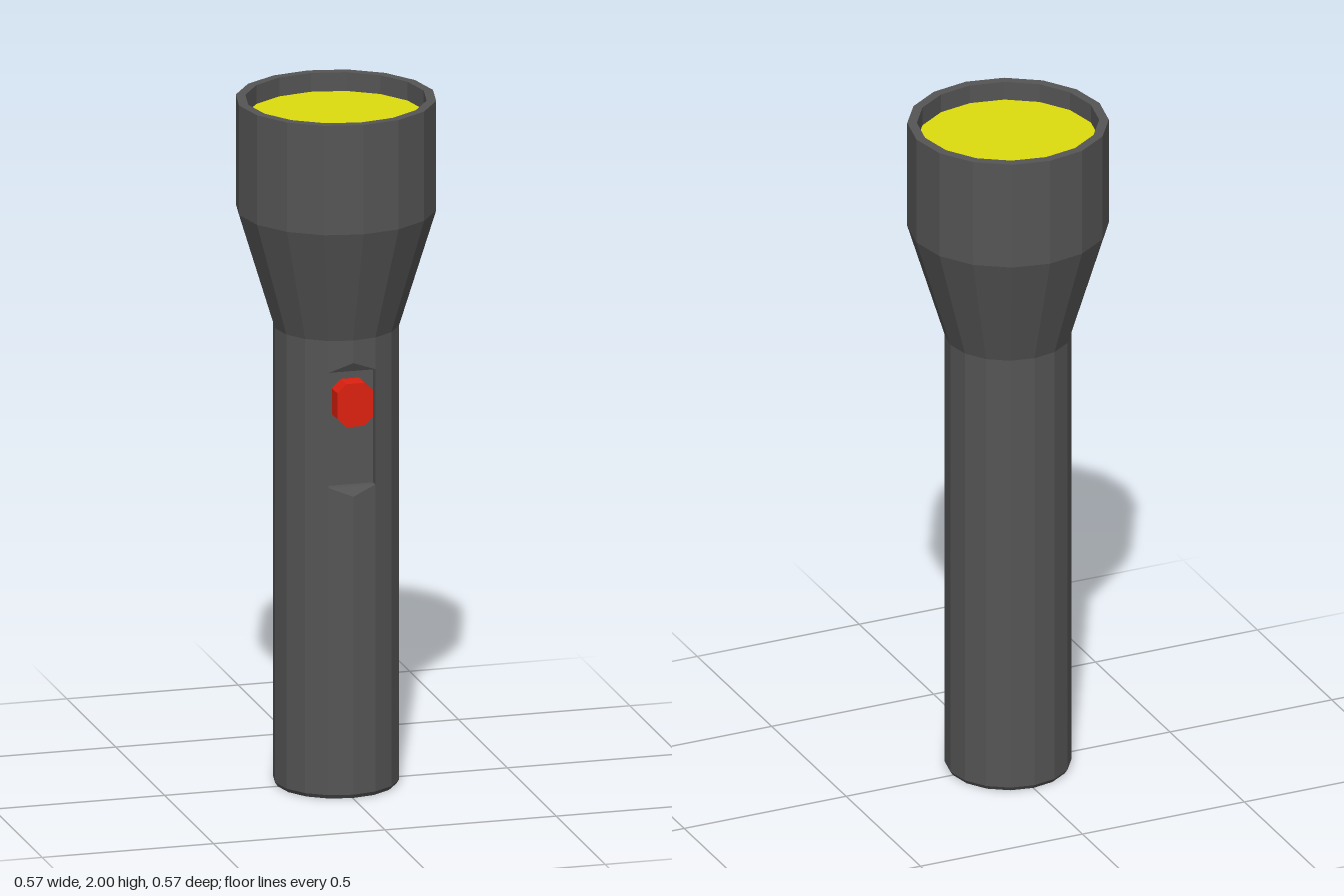
import * as THREE from 'three';

const SIDES = 16, STEP = (Math.PI * 2) / SIDES;
const R = 0.178, HEAD_R = 0.283, LENS_R = 0.256;
const TAIL_Y = 0.012, NECK_Y = 1.34;

const paint = (color) => new THREE.MeshStandardMaterial({ color, flatShading: true });

function part(name, geometry, material) {
  const mesh = new THREE.Mesh(geometry, material);
  mesh.name = name;
  return mesh;
}

// Faceted turned shape; skip leaves out that many facets on each side of the front
function turned(profile, skip = 0) {
  return new THREE.LatheGeometry(
    profile.map(([r, y]) => new THREE.Vector2(r, y)),
    SIDES - 2 * skip, skip * STEP, (SIDES - 2 * skip) * STEP);
}

// Flat polygons, each a counter-clockwise list of corners, fanned into triangles
function polygons(faces) {
  const pos = [];
  for (const f of faces)
    for (let i = 1; i < f.length - 1; i++) pos.push(...f[0], ...f[i], ...f[i + 1]);
  const g = new THREE.BufferGeometry();
  g.setAttribute('position', new THREE.Float32BufferAttribute(pos, 3));
  g.computeVertexNormals();
  return g;
}

// Two front facets of the barrel, interrupted by the recessed switch slot
function frontPanel() {
  const w = R * Math.sin(STEP), ze = R * Math.cos(STEP), zf = 0.142;
  const y0 = 0.91, y1 = 1.247, lip = 0.027;
  const a = [0, y0 - lip, R], b = [0, y1 + lip, R];
  const edge = (s, y) => [s * w, y, ze];
  const deep = (s, y) => [s * w, y, zf];
  return polygons([
    // facets below and above the slot
    [[0, TAIL_Y, R], edge(1, TAIL_Y), edge(1, y0), a],
    [edge(-1, TAIL_Y), [0, TAIL_Y, R], a, edge(-1, y0)],
    [b, edge(1, y1), edge(1, NECK_Y), [0, NECK_Y, R]],
    [edge(-1, y1), b, [0, NECK_Y, R], edge(-1, NECK_Y)],
    // sloping lips
    [a, edge(1, y0), edge(-1, y0)],
    [b, edge(-1, y1), edge(1, y1)],
    // floor and four walls
    [deep(-1, y0), deep(1, y0), deep(1, y1), deep(-1, y1)],
    [edge(-1, y0), edge(1, y0), deep(1, y0), deep(-1, y0)],
    [deep(-1, y1), deep(1, y1), edge(1, y1), edge(-1, y1)],
    [edge(-1, y0), deep(-1, y0), deep(-1, y1), edge(-1, y1)],
    [deep(1, y0), edge(1, y0), edge(1, y1), deep(1, y1)],
  ]);
}

// Button with clipped corners
function buttonGeometry() {
  const w = 0.052, h = 0.063, c = 0.025;
  const shape = new THREE.Shape([
    [w, c - h], [w, h - c], [w - c, h], [c - w, h],
    [-w, h - c], [-w, c - h], [c - w, -h], [w - c, -h],
  ].map(([x, y]) => new THREE.Vector2(x, y)));
  return new THREE.ExtrudeGeometry(shape, { depth: 0.058, bevelEnabled: false })
    .translate(0, 1.157, 0.14);
}

export function createModel() {
  const grey = paint(0x555555);
  const model = new THREE.Group();
  model.name = 'flashlight';
  model.add(
    part('tailCap', turned([[0, 0], [0.17, 0], [R, TAIL_Y]]), grey),
    part('barrel', turned([[R, TAIL_Y], [R, NECK_Y]], 1), grey),
    part('switchSlot', frontPanel(), grey),
    part('head', turned([[R, NECK_Y], [HEAD_R, 1.68], [HEAD_R, 2], [LENS_R, 2], [LENS_R, 1.945]]), grey),
    part('lens', new THREE.CircleGeometry(LENS_R, SIDES).rotateX(-Math.PI / 2).translate(0, 1.945, 0), paint(0xdddd0e)),
    part('switchButton', buttonGeometry(), paint(0xdd2010)),
  );
  return model;
}
